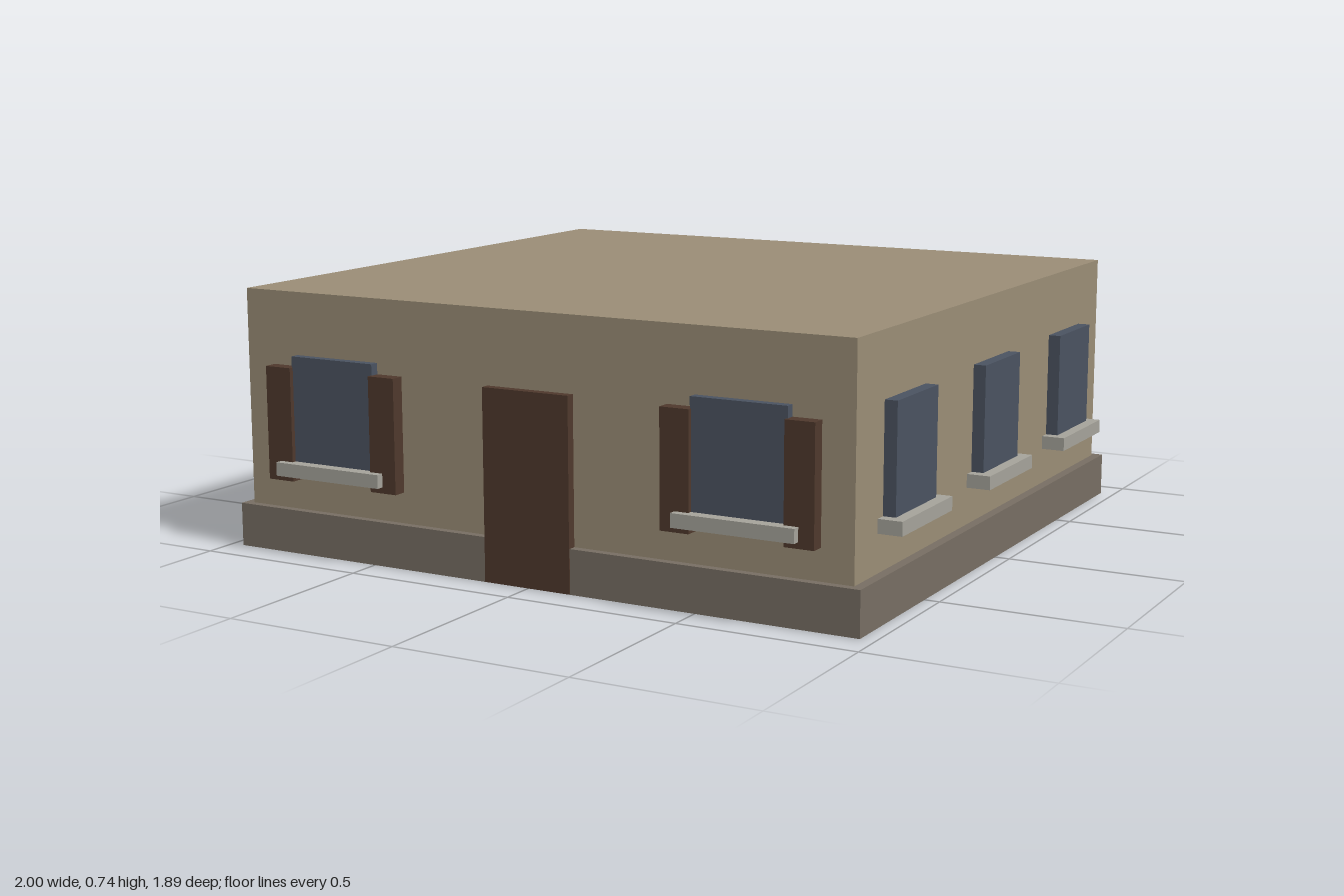
import * as THREE from 'three';

const paint = (name, color) => {
  const m = new THREE.MeshStandardMaterial({ color });
  m.name = name;
  return m;
};

export function createModel() {
  const wall = paint('tan wall', 0x998c75);
  const stone = paint('grey brown plinth', 0x766d62);
  const glass = paint('blue grey glass', 0x4a5260);
  const wood = paint('dark brown wood', 0x4e382c);
  const concrete = paint('light grey sill', 0xa4a299);

  const W = 0.933, D = 0.882; // half width and half depth of the walls
  const house = new THREE.Group();
  house.name = 'house';

  // Box given by its limits on each axis
  const box = (parent, name, material, [x0, x1], [y0, y1], [z0, z1]) => {
    const mesh = new THREE.Mesh(new THREE.BoxGeometry(x1 - x0, y1 - y0, z1 - z0), material);
    mesh.position.set((x0 + x1) / 2, (y0 + y1) / 2, (z0 + z1) / 2);
    mesh.name = name;
    parent.add(mesh);
  };

  // Main volume and the wider plinth around its foot
  box(house, 'walls', wall, [-W, W], [0, 0.736], [-D, D]);
  box(house, 'plinth', stone, [-0.96, 0.96], [0.001, 0.124], [-0.905, 0.905]);
  box(house, 'door', wood, [-0.132, 0.132], [0.002, 0.529], [D - 0.02, 0.908]);

  // Window facing +z with its back on the wall plane z = 0
  const makeWindow = (paneHalf, sillHalf, paneOut, sillOut, shutters) => {
    const g = new THREE.Group();
    g.name = 'window';
    box(g, 'pane', glass, [-paneHalf, paneHalf], [0.24, 0.56], [-0.01, paneOut]);
    box(g, 'sill', concrete, [-sillHalf, sillHalf], [0.227, 0.265], [-0.01, sillOut]);
    if (shutters) {
      box(g, 'leftShutter', wood, [0.133, 0.216], [0.21, 0.529], [-0.01, 0.039]);
      box(g, 'rightShutter', wood, [-0.216, -0.133], [0.21, 0.529], [-0.01, 0.039]);
    }
    return g;
  };

  // Shuttered windows: two beside the door, three on the back
  for (const [x, side] of [[-0.626, 1], [0.626, 1], [-0.626, -1], [0, -1], [0.626, -1]]) {
    const w = makeWindow(0.136, 0.173, 0.026, 0.061, true);
    w.position.set(x, 0, side * D);
    w.rotation.y = side > 0 ? 0 : Math.PI;
    house.add(w);
  }

  // Plain windows: three on each side
  for (const side of [-1, 1]) {
    for (const z of [-0.588, 0, 0.588]) {
      const w = makeWindow(0.129, 0.161, 0.035, 0.067, false);
      w.position.set(side * W, 0, z);
      w.rotation.y = side * Math.PI / 2;
      house.add(w);
    }
  }
  return house;
}
